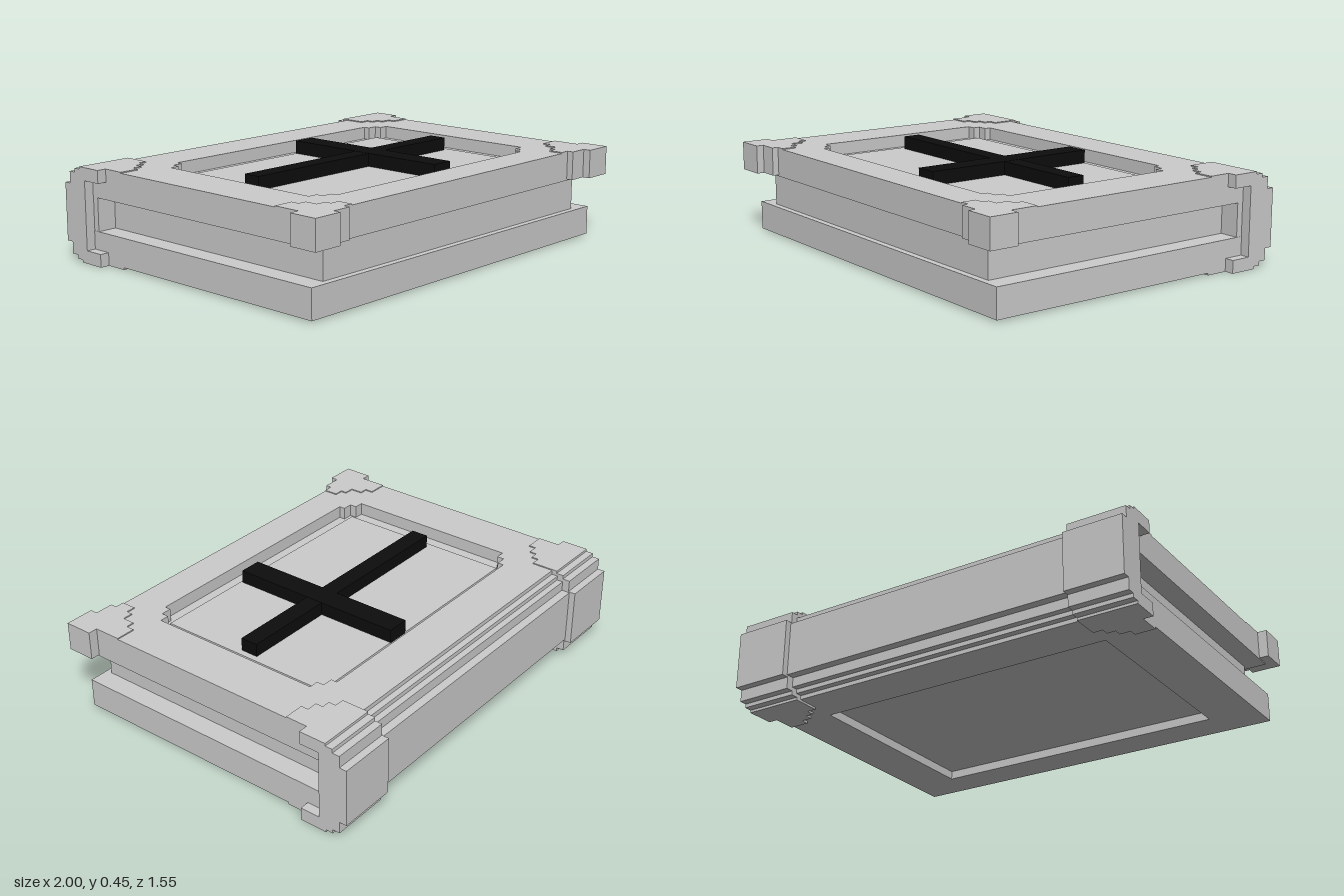
import * as THREE from 'three';

export function createModel() {
  const model = new THREE.Group();
  const grey = new THREE.MeshStandardMaterial({ color: 0xcccccc, flatShading: true });
  const black = new THREE.MeshStandardMaterial({ color: 0x0d0d0d, flatShading: true });

  const add = (name, geometry, material = grey) => {
    const mesh = new THREE.Mesh(geometry, material);
    mesh.name = name;
    model.add(mesh);
  };
  const box = (name, x0, x1, y0, y1, z0, z1, material) => {
    const g = new THREE.BoxGeometry(x1 - x0, y1 - y0, z1 - z0);
    g.translate((x0 + x1) / 2, (y0 + y1) / 2, (z0 + z1) / 2);
    add(name, g, material);
  };
  const toVectors = (points) => points.map(([a, b]) => new THREE.Vector2(a, b));

  // Upright slab from an (x, z) outline, with an optional hole
  const slab = (name, outline, y0, y1, hole) => {
    const shape = new THREE.Shape(toVectors(outline));
    if (hole) shape.holes.push(new THREE.Path(toVectors(hole)));
    const g = new THREE.ExtrudeGeometry(shape, { depth: y1 - y0, bevelEnabled: false });
    g.rotateX(Math.PI / 2).translate(0, y1, 0);
    add(name, g);
  };
  // Bar along x from a (z, y) profile
  const bar = (name, profile, x0, x1) => {
    const g = new THREE.ExtrudeGeometry(new THREE.Shape(toVectors(profile)), { depth: x1 - x0, bevelEnabled: false });
    g.rotateY(-Math.PI / 2).translate(x1, 0, 0);
    add(name, g);
  };
  const rect = (x, z0, z1) => [[-x, z0], [x, z0], [x, z1], [-x, z1]];
  // Mirrors the upper half of a profile about mid height
  const mirrorY = (half, middle) =>
    [...half, ...half.slice().reverse().map(([z, y]) => [z, 2 * middle - y])];

  // Stepped opening of the top cover, symmetric about z = 0.05
  const quarter = [[0.725, 0.425], [0.68, 0.425], [0.68, 0.46], [0.63, 0.46], [0.63, 0.49]];
  const back = quarter.slice().reverse();
  const opening = [
    ...quarter.map(([x, z]) => [x, 0.05 + z]),
    ...back.map(([x, z]) => [-x, 0.05 + z]),
    ...quarter.map(([x, z]) => [-x, 0.05 - z]),
    ...back.map(([x, z]) => [x, 0.05 - z]),
  ];

  // Covers and pages
  slab('topCoverFrame', rect(0.955, -0.65, 0.71), 0.3, 0.435, opening);
  box('topCoverFloor', -0.74, 0.74, 0.305, 0.375, -0.46, 0.56);
  box('topCoverPanel', -0.66, 0.66, 0.37, 0.385, -0.385, 0.485);
  slab('bottomCoverFrame', rect(0.955, -0.65, 0.71), 0.01, 0.145, rect(0.725, -0.44, 0.54));
  box('bottomCoverPanel', -0.74, 0.74, 0.05, 0.14, -0.46, 0.56);
  box('pages', -0.86, 0.86, 0.14, 0.305, -0.62, 0.68);

  // Cross emblem on the top panel
  box('crossLongBar', -0.63, 0.63, 0.38, 0.446, 0, 0.085, black);
  box('crossShortBar', 0.075, 0.185, 0.38, 0.447, -0.385, 0.475, black);

  // Stepped spine
  bar('spine', mirrorY([
    [-0.61, 0.434], [-0.65, 0.434], [-0.65, 0.415], [-0.68, 0.415],
    [-0.68, 0.395], [-0.71, 0.395], [-0.71, 0.35], [-0.75, 0.35],
  ], 0.222), -0.954, 0.954);

  // Corner fittings
  const frontCorner = [
    [1, 0.775], [1, 0.64], [0.955, 0.64], [0.955, 0.51], [0.86, 0.51], [0.86, 0.55],
    [0.82, 0.55], [0.82, 0.61], [0.77, 0.61], [0.77, 0.64], [0.725, 0.64], [0.725, 0.71],
    [0.77, 0.71], [0.77, 0.74], [0.86, 0.74], [0.86, 0.775],
  ];
  const backCorner = [
    [0.955, -0.56], [0.955, -0.44], [0.86, -0.44], [0.86, -0.475], [0.81, -0.475],
    [0.81, -0.51], [0.77, -0.51], [0.77, -0.56],
  ];
  const cap = mirrorY([
    [-0.64, 0.38], [-0.545, 0.38], [-0.545, 0.44], [-0.675, 0.44], [-0.675, 0.428],
    [-0.71, 0.428], [-0.71, 0.41], [-0.745, 0.41], [-0.745, 0.355], [-0.78, 0.355],
  ], 0.22);
  for (const [side, s] of [['left', 1], ['right', -1]]) {
    const flip = (points) => points.map(([x, z]) => [s * x, z]);
    slab(side + 'FrontCorner', flip(frontCorner), 0.306, 0.44);
    slab(side + 'BackTopPlate', flip(backCorner), 0.42, 0.44);
    slab(side + 'BackBottomPlate', flip(backCorner), 0, 0.02);
    bar(side + 'SpineCap', cap, s > 0 ? 0.725 : -1, s > 0 ? 1 : -0.725);
  }
  return model;
}
